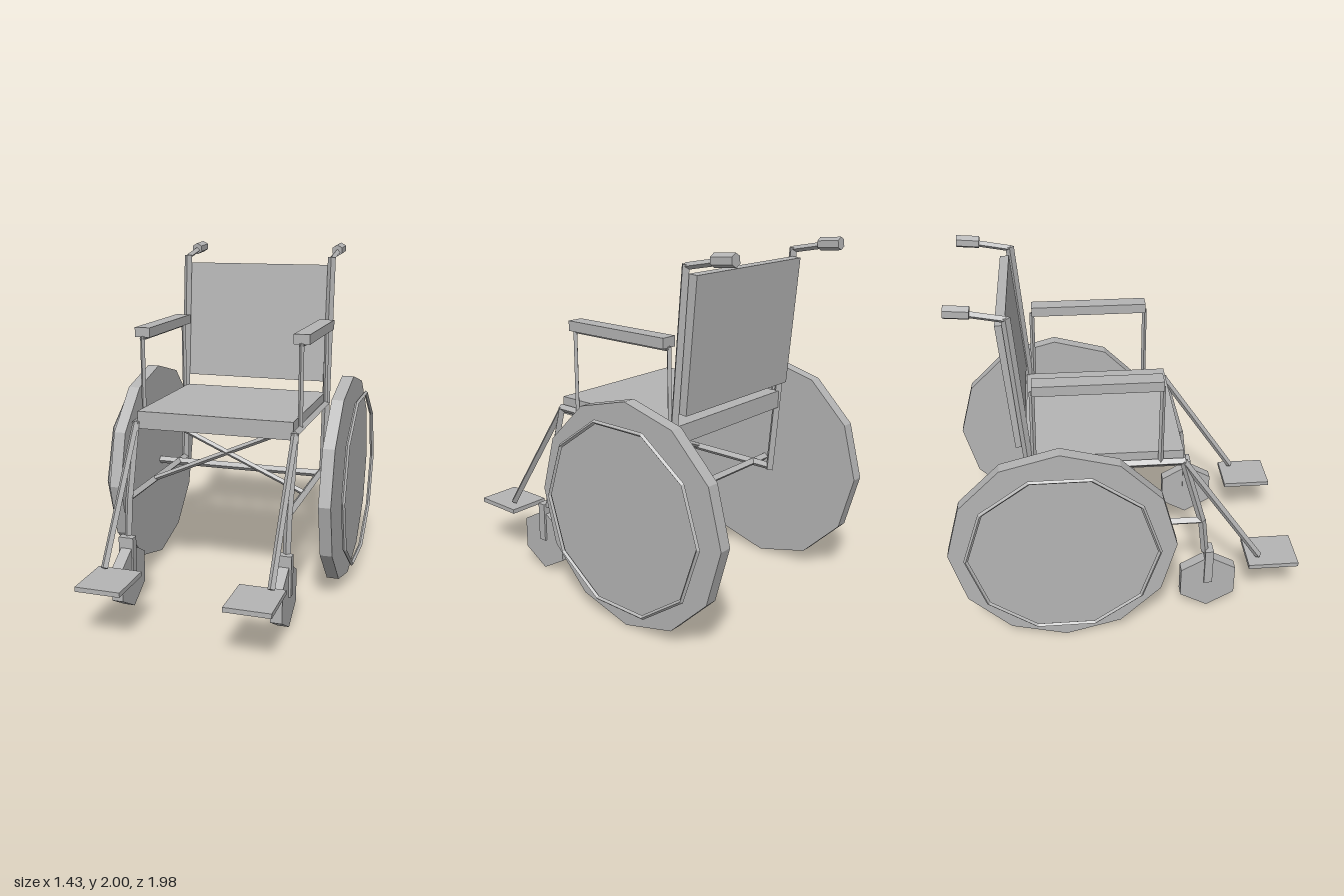
import * as THREE from 'three';

const grey = new THREE.MeshStandardMaterial({ color: 0xb4b4b4, flatShading: true });
grey.name = 'grey';

export function createModel() {
  const model = new THREE.Group();
  model.name = 'wheelchair';

  function add(parent, name, geometry, x = 0, y = 0, z = 0) {
    const mesh = new THREE.Mesh(geometry, grey);
    mesh.name = name;
    mesh.position.set(x, y, z);
    parent.add(mesh);
    return mesh;
  }
  const box = (parent, name, w, h, d, x, y, z) =>
    add(parent, name, new THREE.BoxGeometry(w, h, d), x, y, z);

  // Straight bar between two points
  function bar(parent, name, a, b, r, sides = 4) {
    const from = new THREE.Vector3(...a), to = new THREE.Vector3(...b);
    const dir = to.clone().sub(from);
    const mesh = add(parent, name, new THREE.CylinderGeometry(r, r, dir.length(), sides));
    mesh.position.copy(from).add(to).multiplyScalar(0.5);
    mesh.quaternion.setFromUnitVectors(new THREE.Vector3(0, 1, 0), dir.normalize());
    return mesh;
  }

  // Seat and tilted backrest
  box(model, 'seat', 0.9, 0.1, 0.84, 0, 1.055, -0.12);
  const back = box(model, 'backrest', 0.89, 0.71, 0.05, 0, 1.523, -0.595);
  back.rotation.x = -0.083;

  // Axle and folding cross brace
  bar(model, 'axle', [-0.6, 0.63, -0.37], [0.6, 0.63, -0.37], 0.023);
  for (const s of [-1, 1])
    bar(model, 'crossBrace', [s * 0.46, 0.635, 0.05], [-s * 0.46, 1.04, 0.05], 0.016);

  for (const s of [-1, 1]) {
    const side = new THREE.Group();
    side.name = s > 0 ? 'leftSide' : 'rightSide';
    model.add(side);
    const x = s * 0.46;

    // Rear wheel and hand rim
    const wheel = new THREE.CylinderGeometry(0.62, 0.62, 0.07, 12).rotateZ(Math.PI / 2);
    add(side, 'rearWheel', wheel, s * 0.62, 0.627, -0.365);
    const rim = new THREE.TorusGeometry(0.52, 0.012, 4, 10).rotateY(Math.PI / 2);
    add(side, 'handRim', rim, s * 0.704, 0.627, -0.365);

    // Frame
    bar(side, 'backPost', [x, 0.61, -0.49], [x, 1.925, -0.592], 0.024);
    bar(side, 'seatRail', [x, 1.04, 0.31], [x, 1.04, -0.525], 0.022);
    bar(side, 'lowerRail', [x, 0.63, 0.42], [x, 0.63, -0.49], 0.023);
    bar(side, 'frontPostUpper', [x, 1.045, 0.3], [x, 0.62, 0.42], 0.022);
    bar(side, 'frontPostLower', [x, 0.63, 0.42], [x, 0.4, 0.447], 0.022);

    // Push handle
    bar(side, 'handle', [x, 1.915, -0.59], [x, 1.955, -0.8], 0.018);
    bar(side, 'grip', [x, 1.957, -0.76], [x, 1.967, -0.885], 0.035, 6);

    // Armrest
    box(side, 'armPad', 0.09, 0.055, 0.67, x, 1.533, -0.155);
    bar(side, 'armRail', [x, 1.5, 0.185], [x, 1.5, -0.495], 0.014);
    bar(side, 'armPostFront', [x, 1.04, 0.175], [x, 1.51, 0.178], 0.014);
    bar(side, 'armPostRear', [x, 1.04, -0.5], [x, 1.51, -0.49], 0.014);

    // Caster
    const caster = new THREE.CylinderGeometry(0.183, 0.183, 0.064, 6, 1, false, Math.PI / 2);
    add(side, 'casterWheel', caster.rotateZ(Math.PI / 2), s * 0.453, 0.188, 0.47);
    box(side, 'casterFork', 0.086, 0.23, 0.048, x - s * 0.005, 0.305, 0.47);

    // Footrest
    bar(side, 'footStrut', [x, 1.04, 0.3], [x, 0.345, 0.765], 0.02);
    box(side, 'footPlate', 0.25, 0.026, 0.29, s * 0.398, 0.312, 0.845);
  }
  return model;
}
